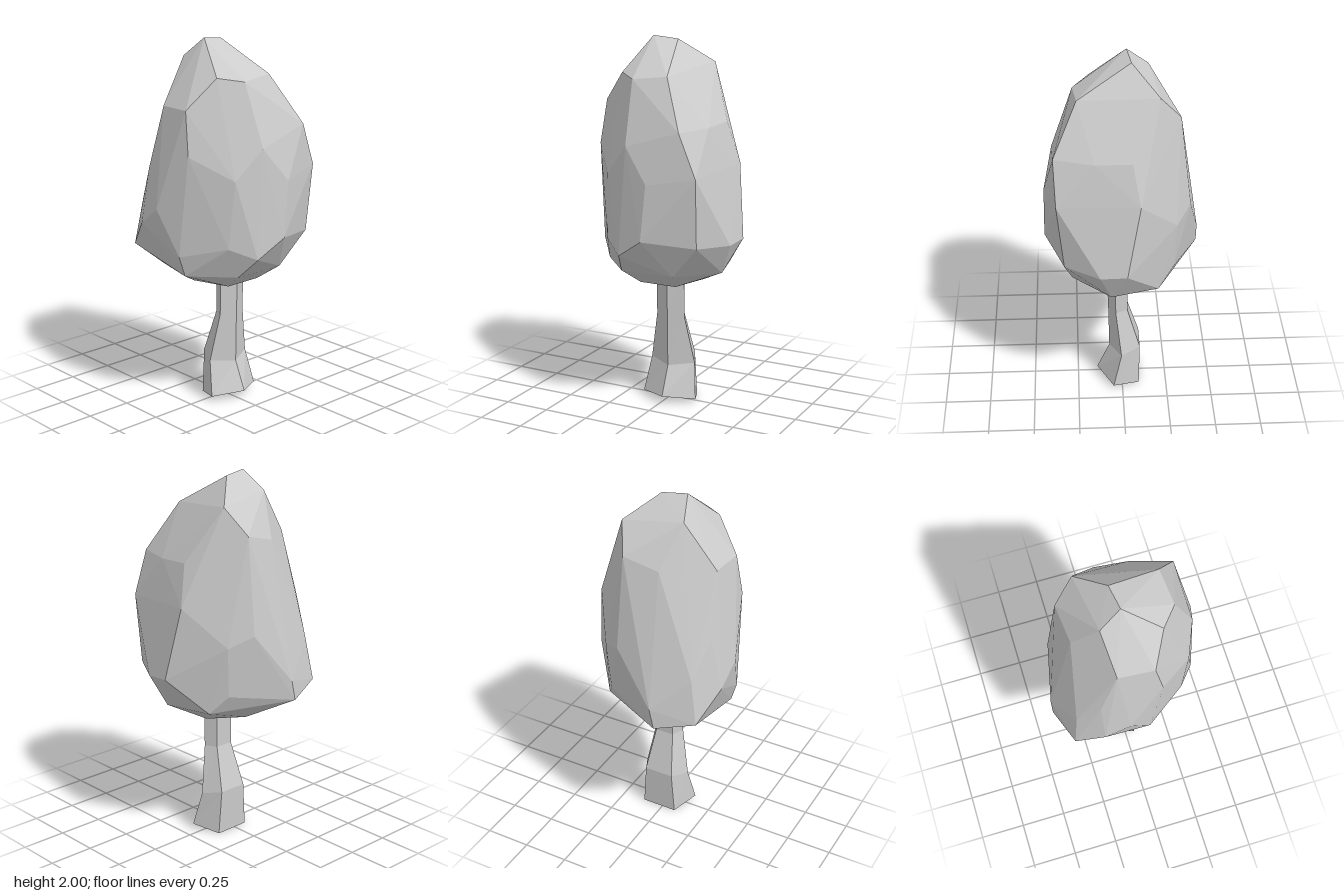
import * as THREE from 'three';
import { ConvexGeometry } from 'three/addons/geometries/ConvexGeometry.js';

const material = new THREE.MeshStandardMaterial({ color: 0xcccccc, flatShading: true });

// Corner points spaced evenly around an ellipse
function ring(sides, y, rx, rz) {
  return Array.from({ length: sides }, (_, i) => {
    const a = ((i + 0.5) / sides) * Math.PI * 2;
    return new THREE.Vector3(rx * Math.cos(a), y, rz * Math.sin(a));
  });
}

// Faceted crown: hull of irregular corners, closed below by two regular rings
function crownGeometry() {
  const corners = [
    // crest and shoulder
    [-0.03, 2, 0.115], [-0.05, 1.985, -0.02],
    [-0.145, 1.9, 0.155], [0.16, 1.82, 0.2], [0.25, 1.8, 0.09], [0.23, 1.82, -0.1],
    [-0.19, 1.86, -0.17], [-0.3, 1.72, -0.105], [-0.276, 1.67, 0.085],
    // upper sides
    [-0.11, 1.66, 0.325], [0.08, 1.66, 0.34], [0.12, 1.43, 0.36], [0.31, 1.31, 0.21],
    [0.365, 1.47, 0.07], [0.41, 1.29, -0.07], [0.355, 1.56, -0.23], [0.345, 1.33, -0.32],
    [0.145, 1.56, -0.295], [-0.045, 1.57, -0.31], [-0.085, 1.35, -0.37],
    // lower sides
    [-0.283, 1.15, -0.23], [-0.36, 1.21, -0.115], [-0.42, 0.93, 0.105], [-0.325, 1.11, 0.3],
    [-0.205, 1.32, 0.35], [-0.2, 1.03, 0.41], [-0.065, 1.13, 0.42], [0.28, 0.95, 0.23],
    [0.415, 0.99, -0.04], [0.31, 0.96, -0.31], [0.125, 0.95, -0.415], [-0.015, 0.96, -0.425],
    // lower rim
    [-0.35, 0.87, 0.34], [0.06, 0.89, 0.375], [0.375, 0.89, 0.11], [-0.27, 0.88, -0.21],
    [-0.42, 0.82, 0.13],
  ].map((p) => new THREE.Vector3(...p));
  return new ConvexGeometry([...corners, ...ring(7, 0.78, 0.3, 0.35), ...ring(5, 0.69, 0.18, 0.18)]);
}

// Bent five-sided trunk: a cylinder whose rows are fitted to sloping sections
function trunkGeometry() {
  const sections = [ // top to foot: left x, left y, right x, right y, radius
    [-0.03, 0.8, 0.085, 0.8, 0.088],
    [-0.03, 0.49, 0.075, 0.49, 0.088],
    [-0.1, 0.25, 0.07, 0.21, 0.139],
    [-0.095, 0.005, 0.14, 0.05, 0.168],
  ];
  const geometry = new THREE.CylinderGeometry(1, 1, 1, 5, 3, false, Math.PI / 2).toNonIndexed();
  const position = geometry.attributes.position;
  const minX = Math.cos(Math.PI * 0.8);
  for (let i = 0; i < position.count; i++) {
    const row = Math.round((0.5 - position.getY(i)) * 3);
    const [x0, y0, x1, y1, radius] = sections[row];
    const t = (position.getX(i) - minX) / (1 - minX);
    position.setXYZ(
      i,
      THREE.MathUtils.lerp(x0, x1, t),
      THREE.MathUtils.lerp(y0, y1, t),
      position.getZ(i) * radius - 0.02,
    );
  }
  geometry.computeVertexNormals();
  return geometry;
}

export function createModel() {
  const tree = new THREE.Group();
  tree.name = 'tree';
  const crown = new THREE.Mesh(crownGeometry(), material);
  crown.name = 'crown';
  const trunk = new THREE.Mesh(trunkGeometry(), material);
  trunk.name = 'trunk';
  tree.add(crown, trunk);
  return tree;
}
